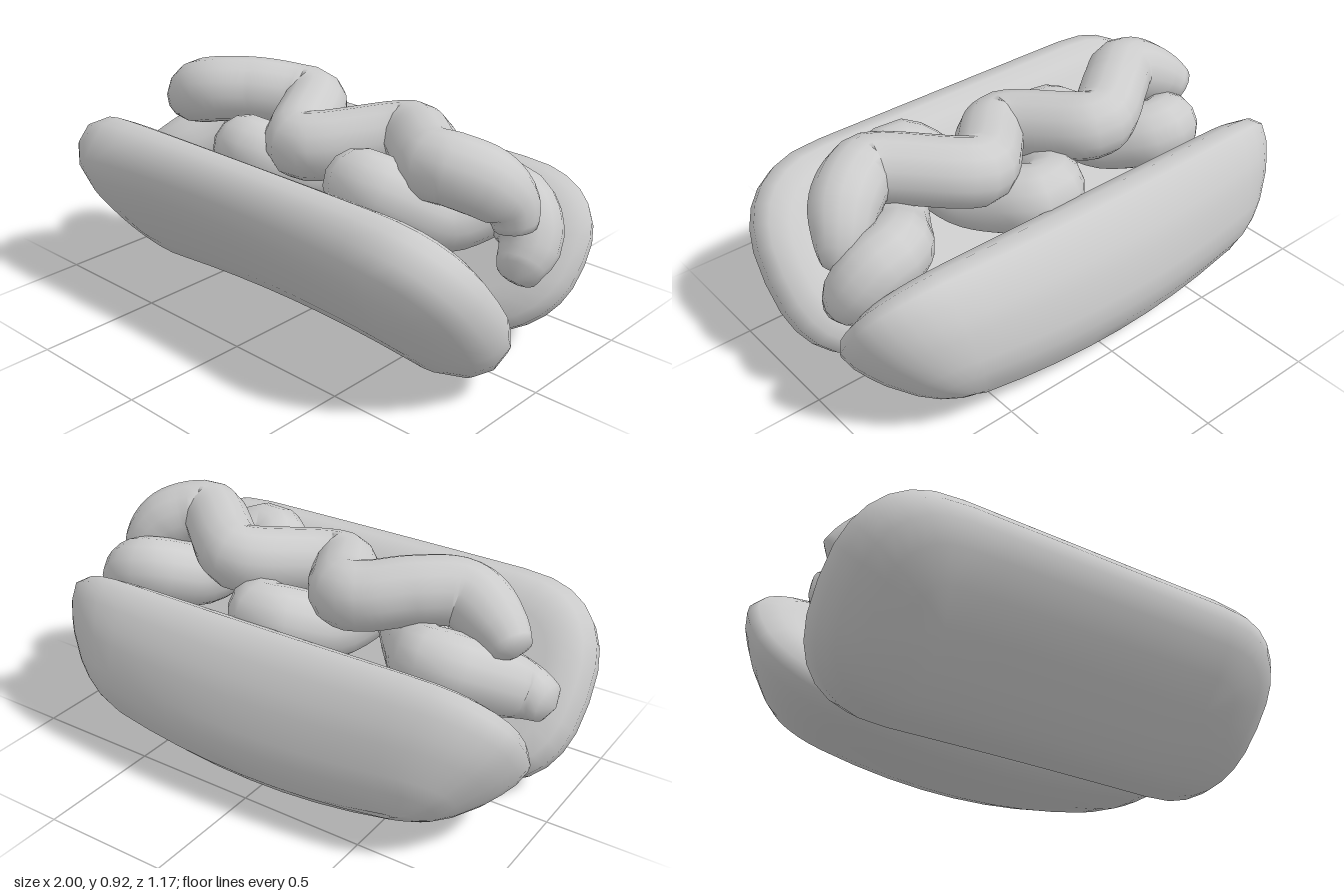
import * as THREE from 'three';
import { mergeVertices } from 'three/addons/utils/BufferGeometryUtils.js';

const material = new THREE.MeshStandardMaterial({ color: 0xcccccc });

// Rounded outline as [straight x, corner x, v]: two end arcs joined by subdivided straights
function stadium() {
  const arc = 14, straight = 8, squareness = 2.5, reach = 0.6;
  const curve = (t) => Math.sign(t) * Math.abs(t) ** (2 / squareness);
  const outline = [];
  for (const end of [1, -1]) {
    for (let k = 0; k <= arc; k++) {
      const angle = (k / arc - 0.5) * Math.PI;
      outline.push([end * reach, end * curve(Math.cos(angle)), end * curve(Math.sin(angle))]);
    }
    for (let k = 1; k < straight; k++) {
      outline.push([end * reach * (1 - 2 * k / straight), 0, end]);
    }
  }
  return outline;
}

// Bun half: outlines stacked outward from the flat inner face.
// layers hold [height, inset]; lean is the slope direction of the inner face as [y, z];
// arch scales the height along x, belly lifts the lower edge towards the ends.
function bunHalf(name, { layers, lean, center, half, arch, belly }) {
  const outline = stadium();
  const count = outline.length;
  const [uy, uz] = lean;
  const side = Math.sign(uz);
  const ny = -Math.abs(uz), nz = uy * side;
  const positions = [], index = [];
  for (const [height, inset] of layers) {
    for (const [straightX, cornerX, edge] of outline) {
      const x = straightX + cornerX * Math.max(0, 0.4 - inset);
      const lift = belly * x * x * (1 - edge) / 2;
      const v = center + edge * (half - inset) + lift;
      const w = height * arch(x);
      positions.push(x, 0.22 + uy * v + ny * w, uz * v + nz * w);
    }
  }
  for (let l = 0; l < layers.length - 1; l++) {
    for (let i = 0; i < count; i++) {
      const j = (i + 1) % count;
      const a = l * count + i, b = l * count + j;
      const c = b + count, d = a + count;
      if (side > 0) index.push(a, b, c, a, c, d);
      else index.push(a, c, b, a, d, c);
    }
  }
  let geometry = new THREE.BufferGeometry();
  geometry.setAttribute('position', new THREE.Float32BufferAttribute(positions, 3));
  geometry.setIndex(index);
  geometry = mergeVertices(geometry, 1e-5);
  geometry.computeVertexNormals();
  const mesh = new THREE.Mesh(geometry, material);
  mesh.name = name;
  return mesh;
}

// Wavy tube that tapers to blunt, closed ends
function wavyTube(name, points, radius) {
  const path = new THREE.CatmullRomCurve3(
    points.map((p) => new THREE.Vector3(...p)), false, 'catmullrom', 0.5);
  const rings = 90, sides = 14, taperLength = 0.28;
  let geometry = new THREE.TubeGeometry(path, rings, radius, sides);
  const position = geometry.attributes.position;
  const point = new THREE.Vector3();
  const length = path.getLength();
  for (let i = 0; i <= rings; i++) {
    const middle = path.getPointAt(i / rings);
    const step = Math.min(i, rings - i);
    const fromEnd = Math.min(1, (step / rings) * length / taperLength);
    const scale = step === 0 ? 0 : 0.5 + 0.5 * Math.sin(fromEnd * Math.PI / 2);
    for (let j = 0; j <= sides; j++) {
      const k = i * (sides + 1) + j;
      point.fromBufferAttribute(position, k).sub(middle).multiplyScalar(scale).add(middle);
      position.setXYZ(k, point.x, point.y, point.z);
    }
  }
  geometry.deleteAttribute('normal');
  geometry.deleteAttribute('uv');
  geometry = mergeVertices(geometry, 1e-4);
  geometry.computeVertexNormals();
  const mesh = new THREE.Mesh(geometry, material);
  mesh.name = name;
  return mesh;
}

export function createModel() {
  const group = new THREE.Group();
  group.name = 'filledBun';

  // Front half: an even slab, slightly pinched in the middle
  group.add(bunHalf('frontBunHalf', {
    lean: [0.785, 0.62], center: 0.303, half: 0.413, belly: 0,
    layers: [[0, 0.413], [0, 0.16], [0, 0.1], [0.03, 0.035], [0.09, 0], [0.17, 0.01],
      [0.23, 0.055], [0.272, 0.14], [0.29, 0.27], [0.295, 0.413]],
    arch: (x) => 1 - 0.12 * Math.max(0, 1 - (x / 0.7) ** 2),
  }));

  // Back half: domed outward and highest in the middle
  group.add(bunHalf('backBunHalf', {
    lean: [0.809, -0.588], center: 0.247, half: 0.373, belly: 0.13,
    layers: [[0, 0.373], [0, 0.15], [0, 0.095], [0.035, 0.025], [0.09, 0], [0.17, 0.018],
      [0.24, 0.05], [0.3, 0.085], [0.39, 0.16], [0.435, 0.218], [0.465, 0.285], [0.478, 0.373]],
    arch: (x) => 1 - 0.27 * x * x,
  }));

  // Lower filling winds between the two inner faces
  group.add(wavyTube('lowerFilling', [
    [-0.95, 0.43, 0.1], [-0.8, 0.47, 0.09], [-0.62, 0.6, -0.12], [-0.53, 0.6, -0.12],
    [-0.41, 0.56, 0.03], [-0.28, 0.64, 0.16], [-0.18, 0.64, 0.16], [-0.07, 0.56, -0.02],
    [0.05, 0.62, -0.185], [0.14, 0.62, -0.185], [0.26, 0.58, 0.04], [0.37, 0.695, 0.235],
    [0.47, 0.695, 0.235], [0.59, 0.58, 0.04], [0.7, 0.63, -0.13], [0.79, 0.61, -0.145],
    [0.86, 0.52, -0.11], [0.87, 0.45, -0.05], [0.88, 0.41, 0.01],
  ], 0.13));

  // Upper filling lies in a gentler wave on top
  group.add(wavyTube('upperFilling', [
    [-0.83, 0.65, -0.01], [-0.73, 0.72, 0.04], [-0.57, 0.79, 0.075], [-0.42, 0.8, -0.02],
    [-0.28, 0.78, -0.115], [-0.18, 0.77, -0.115], [-0.03, 0.73, 0.125], [0.07, 0.73, 0.125],
    [0.27, 0.765, -0.075], [0.37, 0.78, -0.075], [0.59, 0.8, 0.11], [0.68, 0.8, 0.11],
    [0.78, 0.76, 0.05], [0.84, 0.68, -0.01], [0.86, 0.57, -0.02],
  ], 0.13));

  return group;
}
